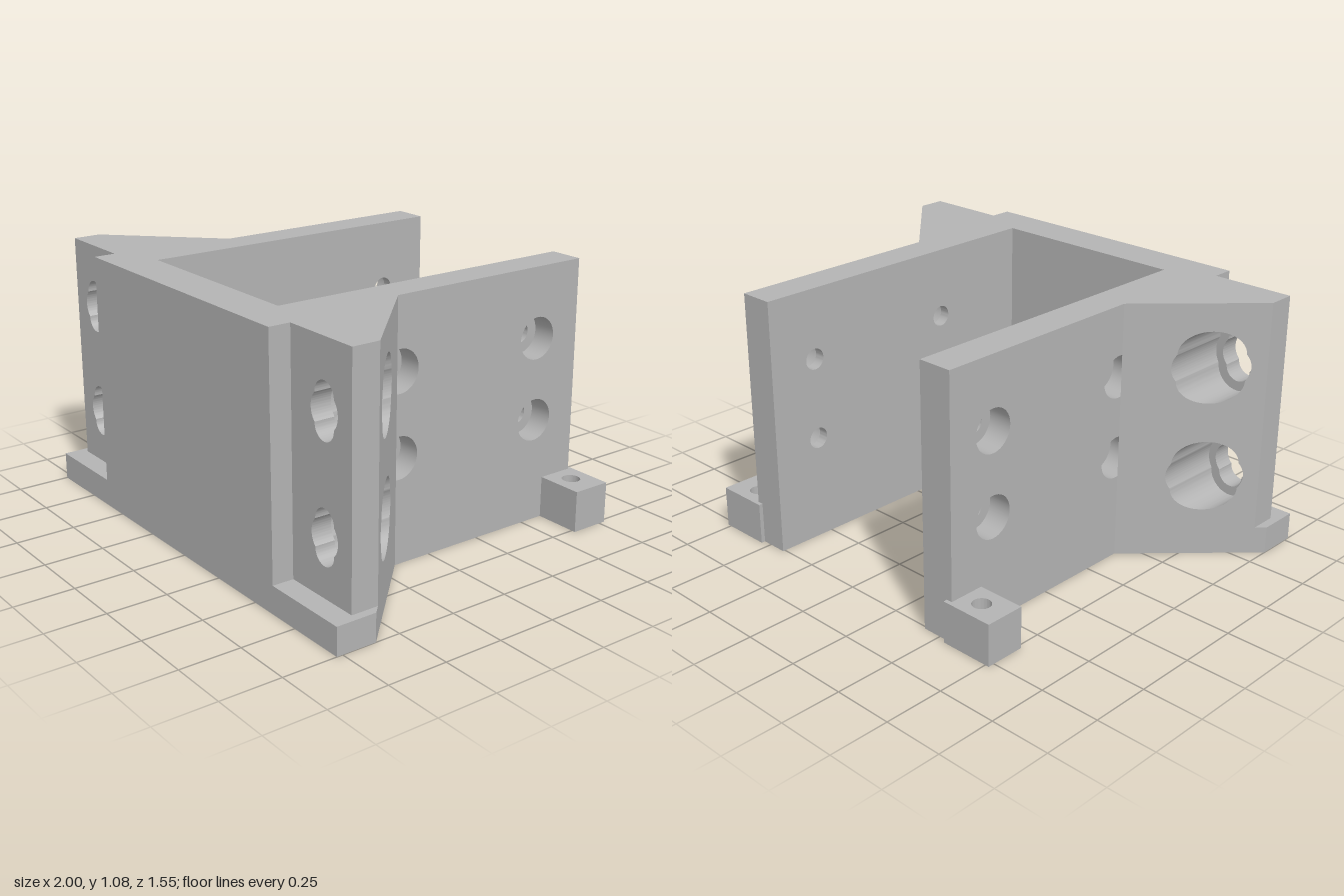
import * as THREE from 'three';
import { toCreasedNormals } from 'three/addons/utils/BufferGeometryUtils.js';

const H = 1.08, STEP = 0.115;            // overall height, height of the foot
const HOLE_X = 0.81, SLOT_Y = [0.35, 0.815];

const polygon = (pts) => new THREE.Shape(pts.map(([x, y]) => new THREE.Vector2(x, y)));
const rect = (x0, y0, x1, y1) => polygon([[x0, y0], [x1, y0], [x1, y1], [x0, y1]]);
const circle = (x, y, r) => new THREE.Path().absarc(x, y, r, 0, Math.PI * 2, false);

// Outline of three overlapping circles: radius R in the middle, r above and below
function tripleHole(x, y, R, r, d) {
  const h = (R * R - r * r + d * d) / (2 * d);
  const t = Math.asin(h / R), s = Math.asin((h - d) / r), PI = Math.PI;
  const p = new THREE.Path();
  p.absarc(x, y, R, -t, t, false);
  p.absarc(x, y + d, r, s, PI - s, false);
  p.absarc(x, y, R, PI - t, PI + t, false);
  p.absarc(x, y - d, r, PI + s, 2 * PI - s, false);
  return p;
}

function extrude(shape, depth, holes = []) {
  shape.holes.push(...holes);
  return new THREE.ExtrudeGeometry(shape, { depth, bevelEnabled: false, curveSegments: 20 });
}

// Mirrored copy across x = 0 with the corner order put right
function mirrorX(geometry) {
  const g = geometry.clone().scale(-1, 1, 1);
  for (const { array, itemSize: n } of Object.values(g.attributes)) {
    for (let i = 0; i < array.length; i += 3 * n) {
      for (let k = 0; k < n; k++) {
        const a = array[i + n + k];
        array[i + n + k] = array[i + 2 * n + k];
        array[i + 2 * n + k] = a;
      }
    }
  }
  return g;
}

export function createModel() {
  const model = new THREE.Group();
  model.name = 'mountingBracket';
  const grey = new THREE.MeshStandardMaterial({ color: 0xb3b3b3 });
  grey.name = 'grey';

  const add = (name, geometry) => {
    const mesh = new THREE.Mesh(geometry, grey);
    mesh.name = name;
    model.add(mesh);
  };
  const addPair = (name, geometry) => {
    const g = toCreasedNormals(geometry, 0.6);
    add(name + 'Left', g);
    add(name + 'Right', mirrorX(g));
  };

  // Front panel
  add('frontPanel', new THREE.BoxGeometry(1.235, H, 0.175).translate(0, H / 2, 0.6875));

  // Side walls: inner layer with bolt holes, outer layer with counterbores
  const wallLayer = (x0, x1, r) => {
    const holes = [];
    for (const z of [0.155, -0.545]) for (const y of [0.44, 0.785]) holes.push(circle(-z, y, r));
    return extrude(rect(-0.6, 0, 0.76, H), x1 - x0, holes).rotateY(Math.PI / 2).translate(x0, 0, 0);
  };
  addPair('innerWall', wallLayer(0.42, 0.465, 0.044));
  addPair('outerWall', wallLayer(0.465, 0.565, 0.088));

  // Diagonal braces: the back cap is slanted to 45 degrees
  const brace = extrude(rect(0.565, 0, 0.965, H), 1,
    SLOT_Y.map((y) => tripleHole(HOLE_X, y, 0.11, 0.095, 0.055)));
  const p = brace.attributes.position;
  for (let i = 0; i < p.count; i++) p.setZ(i, p.getZ(i) > 0.5 ? 0.6 : p.getX(i) - 0.395);
  addPair('brace', brace);

  // Recessed flanges with the narrower slots
  addPair('flange', extrude(rect(0.6, 0, 0.965, H), 0.085,
    SLOT_Y.map((y) => tripleHole(HOLE_X, y, 0.077, 0.055, 0.055))).translate(0, 0, 0.6));

  // Feet under the flanges
  const foot = polygon([[0.61, -0.775], [1, -0.775], [1, -0.605], [0.965, -0.57], [0.965, -0.6], [0.61, -0.6]]);
  addPair('foot', extrude(foot, STEP).rotateX(-Math.PI / 2));

  // Drilled lugs at the back
  addPair('lug', extrude(rect(0.54, 0.607, 0.767, 0.777), 0.175, [circle(0.65, 0.692, 0.038)])
    .rotateX(-Math.PI / 2));

  return model;
}
